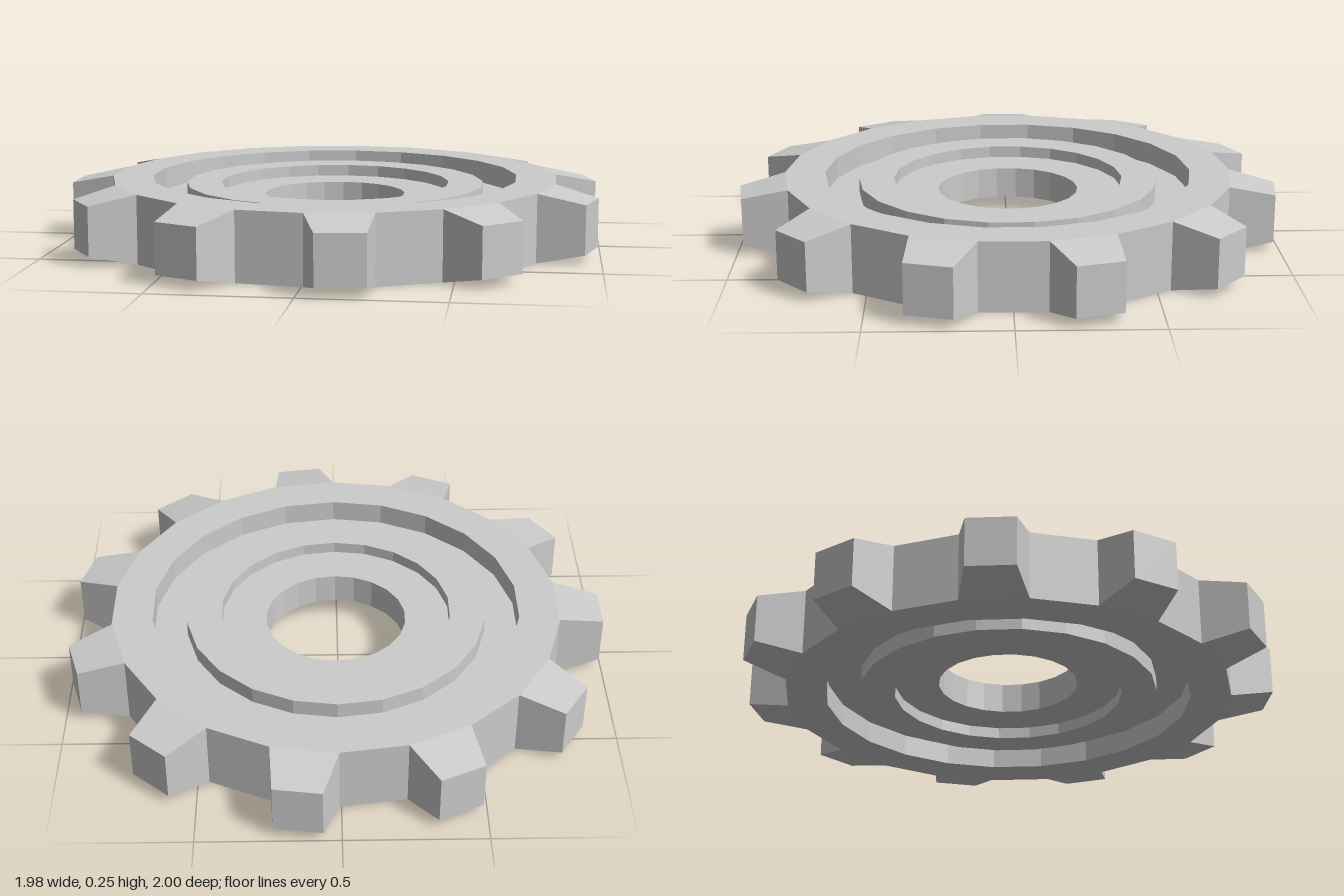
import * as THREE from 'three';

const TEETH = 11;
const SIDES = TEETH * 2;
const HEIGHT = 0.25;
const BODY_R = 0.838;
const TIP_R = 0.998;

const material = new THREE.MeshStandardMaterial({ color: 0xcccccc, flatShading: true });

// Faceted disc with a bore and stepped rings, the same on top and underneath
function createBody() {
  // radius and depth below the face, from the rim inwards
  const steps = [
    [BODY_R, 0], [0.687, 0], [0.687, 0.083], [0.56, 0.083], [0.56, 0.024],
    [0.43, 0.024], [0.43, 0.067], [0.263, 0.067],
  ];
  const top = steps.map(([r, d]) => new THREE.Vector2(r, HEIGHT - d));
  const bottom = steps.map(([r, d]) => new THREE.Vector2(r, d)).reverse();
  const profile = [...top, ...bottom, top[0].clone()];
  const body = new THREE.Mesh(new THREE.LatheGeometry(profile, SIDES), material);
  body.name = 'gearBody';
  return body;
}

// Tooth pointing along +x: its root fills one facet of the body, its tip is smaller
function createToothGeometry() {
  const half = Math.PI / SIDES;
  const root = { x: BODY_R * Math.cos(half), y: HEIGHT / 2, z: BODY_R * Math.sin(half) };
  const tip = { x: TIP_R, y: 0.09, z: 0.086 };
  const geometry = new THREE.BoxGeometry(2, 2, 2);
  const p = geometry.attributes.position;
  for (let i = 0; i < p.count; i++) {
    const end = p.getX(i) > 0 ? tip : root;
    p.setXYZ(i, end.x, HEIGHT / 2 + p.getY(i) * end.y, p.getZ(i) * end.z);
  }
  geometry.computeVertexNormals();
  return geometry;
}

export function createModel() {
  const gear = new THREE.Group();
  gear.name = 'gear';
  gear.add(createBody());

  // Ring of teeth, the first one pointing along -x
  const teeth = new THREE.Group();
  teeth.name = 'teeth';
  const toothGeometry = createToothGeometry();
  for (let i = 0; i < TEETH; i++) {
    const tooth = new THREE.Mesh(toothGeometry, material);
    tooth.name = `tooth${i + 1}`;
    tooth.rotation.y = Math.PI + (i * 2 * Math.PI) / TEETH;
    teeth.add(tooth);
  }
  gear.add(teeth);

  // An odd number of teeth shifts the bounding box, so centre it
  gear.position.x = 0.007;
  const model = new THREE.Group();
  model.add(gear);
  return model;
}
